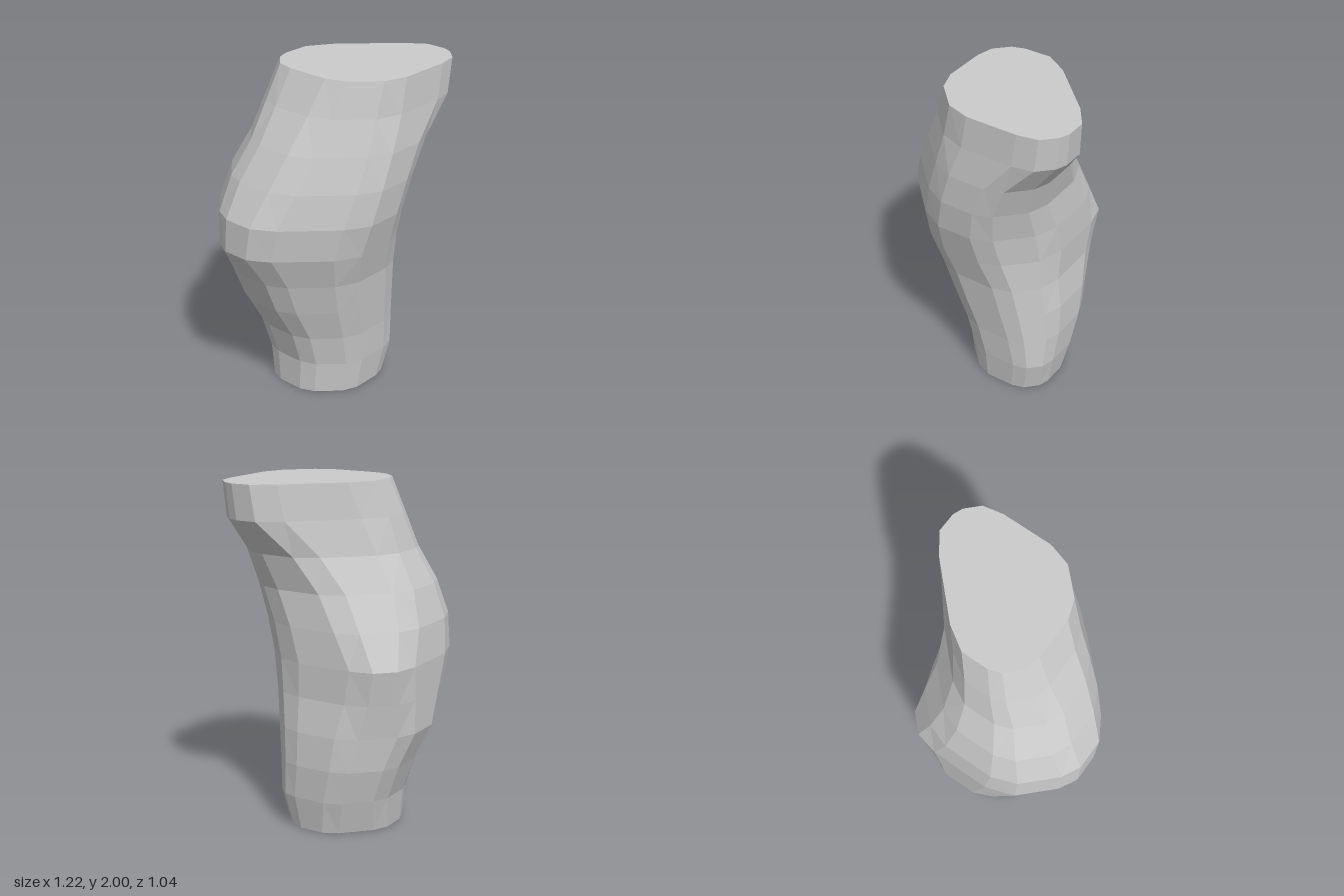
import * as THREE from 'three';

// One row per level, 0.2 apart from the ground up. Each row gives how far the
// section reaches along x, x+z, z, z-x, -x, -x-z, -z, x-z.
const levels = [
  [0.36, 0.50, 0.25, 0.28, 0.22, 0.42, 0.32, 0.45],
  [0.40, 0.57, 0.28, 0.31, 0.23, 0.44, 0.35, 0.54],
  [0.42, 0.57, 0.30, 0.37, 0.29, 0.52, 0.42, 0.62],
  [0.42, 0.57, 0.33, 0.46, 0.40, 0.66, 0.50, 0.66],
  [0.40, 0.57, 0.36, 0.54, 0.48, 0.75, 0.51, 0.71],
  [0.41, 0.58, 0.42, 0.64, 0.61, 0.84, 0.52, 0.77],
  [0.41, 0.62, 0.48, 0.68, 0.61, 0.83, 0.50, 0.66],
  [0.40, 0.69, 0.51, 0.66, 0.52, 0.73, 0.44, 0.54],
  [0.45, 0.79, 0.52, 0.61, 0.42, 0.57, 0.35, 0.44],
  [0.59, 0.97, 0.51, 0.55, 0.31, 0.45, 0.30, 0.41],
  [0.61, 1.00, 0.51, 0.51, 0.22, 0.335, 0.24, 0.405],
];
const dirs = [[1, 0], [1, 1], [0, 1], [-1, 1], [-1, 0], [-1, -1], [0, -1], [1, -1]];

// Octagon bounded by the reaches, with its corners cut to give 16 points
function ring(reach, y) {
  const corners = dirs.map(([a, b], i) => {
    const j = (i + 1) % 8, [c, d] = dirs[j], det = a * d - b * c;
    return new THREE.Vector3(
      (reach[i] * d - reach[j] * b) / det, y, (a * reach[j] - c * reach[i]) / det);
  });
  return corners.flatMap((p, i) => {
    const q = corners[(i + 1) % 8];
    return [p.clone().lerp(q, 0.19), p.clone().lerp(q, 0.81)];
  });
}

function loft(rings) {
  const pos = [];
  const tri = (...pts) => pts.forEach((p) => pos.push(p.x, p.y, p.z));
  const n = rings[0].length;
  const middle = (r) => r.reduce((s, p) => s.add(p), new THREE.Vector3()).divideScalar(n);
  const bottom = rings[0], top = rings[rings.length - 1];
  const cb = middle(bottom), ct = middle(top);
  for (let i = 0; i < n; i++) {
    const j = (i + 1) % n;
    // Faceted wall, split along the shorter diagonal
    for (let k = 0; k < rings.length - 1; k++) {
      const a = rings[k][i], b = rings[k][j], c = rings[k + 1][j], d = rings[k + 1][i];
      if (a.distanceTo(c) < b.distanceTo(d)) { tri(a, d, c); tri(a, c, b); }
      else { tri(a, d, b); tri(b, d, c); }
    }
    // Flat end caps
    tri(cb, bottom[i], bottom[j]);
    tri(ct, top[j], top[i]);
  }
  const geo = new THREE.BufferGeometry();
  geo.setAttribute('position', new THREE.Float32BufferAttribute(pos, 3));
  geo.computeVertexNormals();
  return geo;
}

export function createModel() {
  const group = new THREE.Group();
  group.name = 'bentStump';
  const material = new THREE.MeshStandardMaterial({ color: 0xcccccc, flatShading: true });
  const body = new THREE.Mesh(loft(levels.map((r, i) => ring(r, i * 0.2))), material);
  body.name = 'body';
  group.add(body);
  return group;
}
